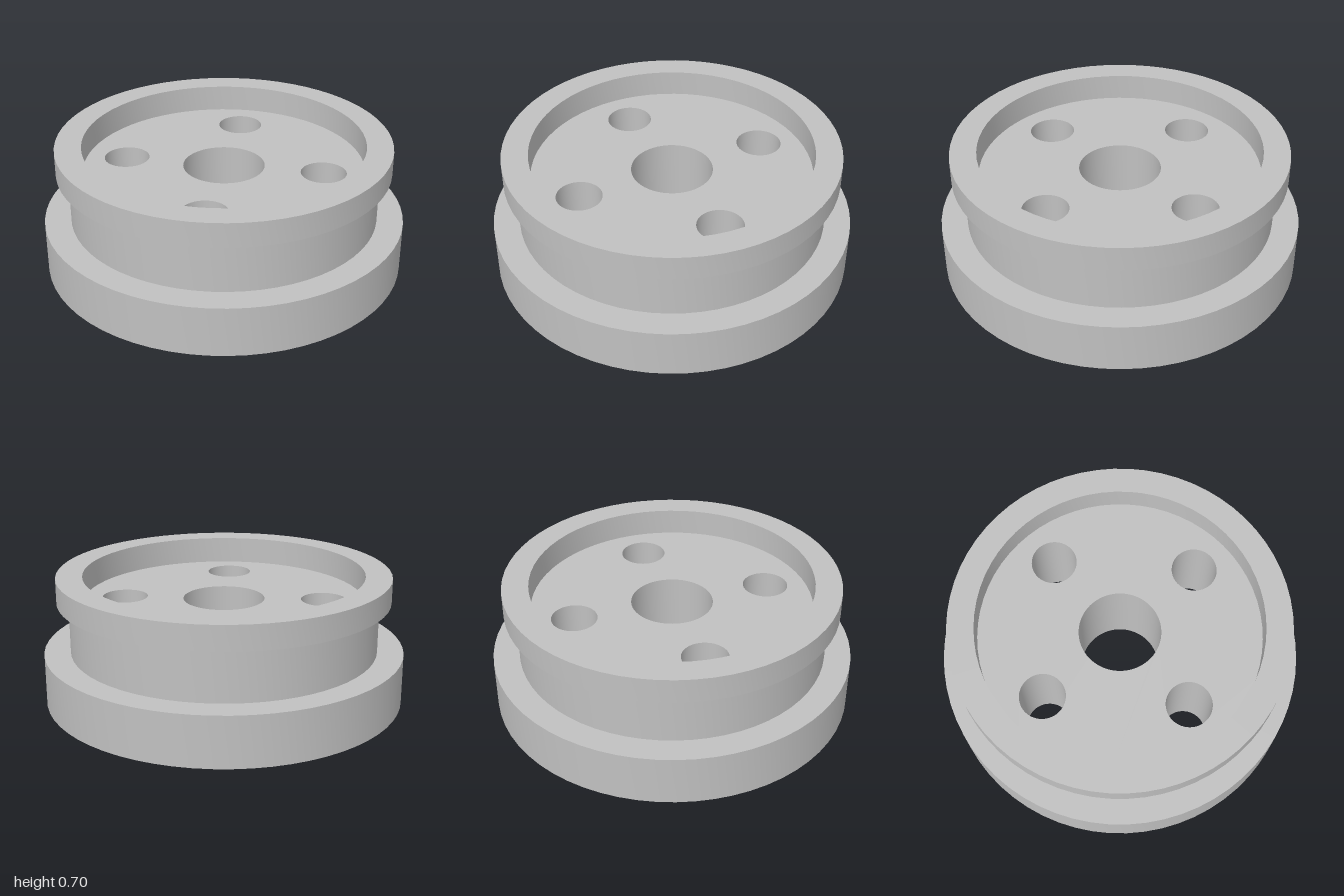
import * as THREE from 'three';
import { toCreasedNormals } from 'three/addons/utils/BufferGeometryUtils.js';

const SEGMENTS = 64;
const FLOOR_Y = 0.555;
const FLOOR_RADIUS = 0.775;
// Centre bore, then four bolt holes: [x, z, radius]
const HOLES = [
  [0, 0, 0.225],
  ...[[1, 1], [1, -1], [-1, 1], [-1, -1]].map(([x, z]) => [x * 0.39, z * 0.39, 0.125]),
];

function circle(radius, cx = 0, cy = 0) {
  return Array.from({ length: SEGMENTS }, (_, i) => {
    const a = (i / SEGMENTS) * Math.PI * 2;
    return new THREE.Vector2(cx + Math.cos(a) * radius, cy + Math.sin(a) * radius);
  });
}

// Flat disc pierced by every hole, facing up or down
function piercedDisc(radius, y, facing) {
  const shape = new THREE.Shape(circle(radius));
  for (const [x, z, r] of HOLES) shape.holes.push(new THREE.Path(circle(r, x, z)));
  return new THREE.ShapeGeometry(shape).rotateX(-facing * Math.PI / 2).translate(0, y, 0);
}

function turned(profile) {
  const points = profile.map(([r, y]) => new THREE.Vector2(r, y));
  return toCreasedNormals(new THREE.LatheGeometry(points, SEGMENTS), 0.5);
}

export function createModel() {
  const model = new THREE.Group();
  model.name = 'groovedWheel';
  const metal = new THREE.MeshStandardMaterial({ color: 0xc0c0c0 });
  metal.name = 'grey metal';

  const add = (name, geometry) => {
    const mesh = new THREE.Mesh(geometry, metal);
    mesh.name = name;
    model.add(mesh);
    return mesh;
  };

  // Wide flange, groove, upper rim and recess wall in one turned profile
  add('flangedBody', turned([
    [1, 0], [1, 0.28], [0.855, 0.28], [0.855, 0.57],
    [0.92, 0.57], [0.92, 0.705], [FLOOR_RADIUS, 0.705], [FLOOR_RADIUS, FLOOR_Y],
  ]));
  add('underside', piercedDisc(1, 0, -1));
  add('recessFloor', piercedDisc(FLOOR_RADIUS, FLOOR_Y, 1));

  // Inward-facing walls of the through holes
  HOLES.forEach(([x, z, r], i) => {
    const wall = add(i ? `boltHole${i}` : 'centreBore', turned([[r, FLOOR_Y], [r, 0]]));
    wall.position.set(x, 0, z);
  });

  return model;
}
